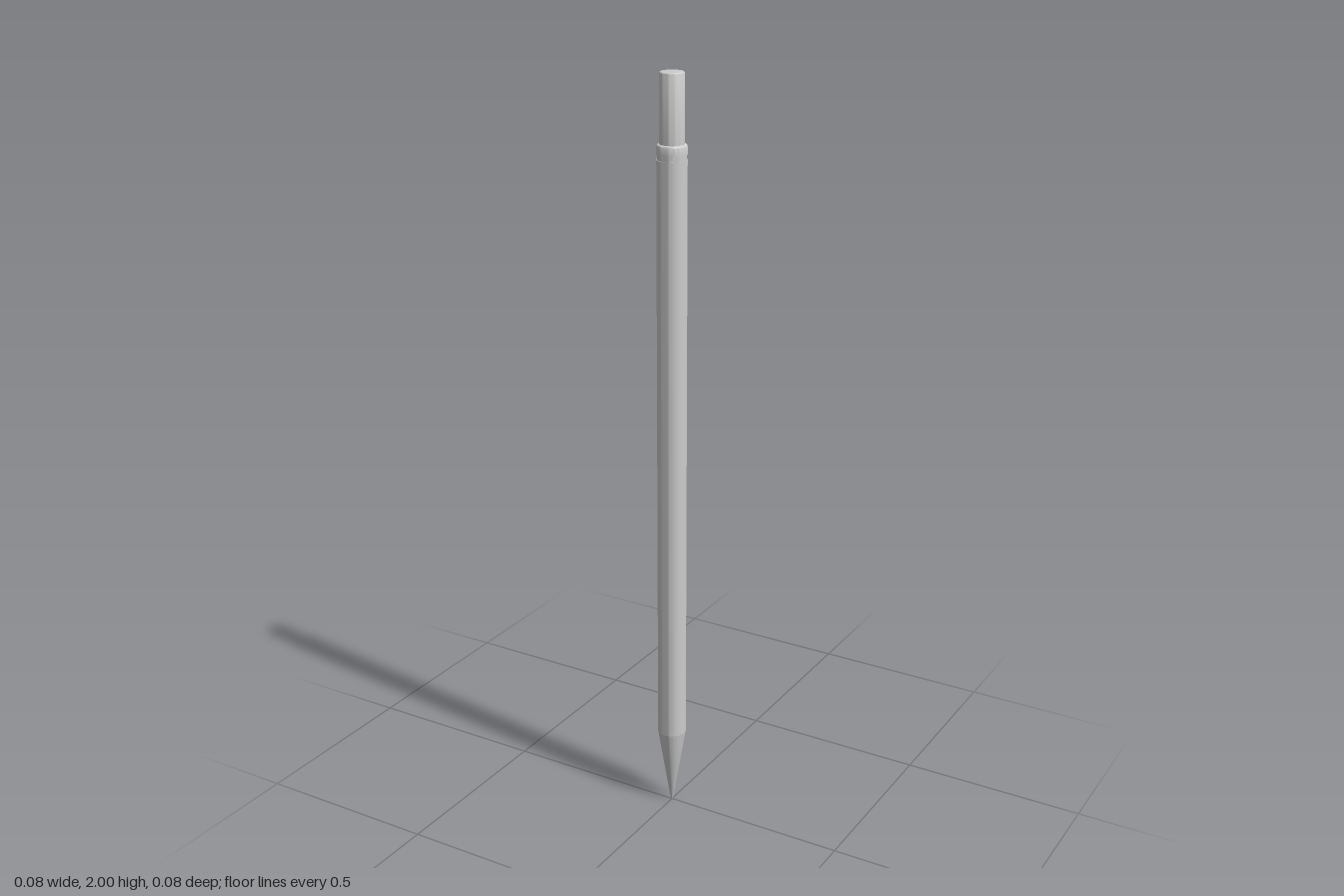
import * as THREE from 'three';
import { toCreasedNormals } from 'three/addons/utils/BufferGeometryUtils.js';

const SEGMENTS = 48;

// Turned part from a [radius, height] profile, listed bottom to top
function turned(name, profile, material) {
  const points = profile.map(([r, y]) => new THREE.Vector2(r, y));
  const geometry = toCreasedNormals(new THREE.LatheGeometry(points, SEGMENTS), 0.5);
  const mesh = new THREE.Mesh(geometry, material);
  mesh.name = name;
  return mesh;
}

// Quarter-round edge: from the side wall (r, y - e) to the top face (r - e, y)
function roundedEdge(r, y, e, steps = 5) {
  return Array.from({ length: steps + 1 }, (_, i) => {
    const a = (i / steps) * Math.PI / 2;
    return [r - e + e * Math.cos(a), y - e + e * Math.sin(a)];
  });
}

export function createModel() {
  const grey = new THREE.MeshStandardMaterial({ color: 0xcccccc });
  grey.name = 'light grey';

  const group = new THREE.Group();
  group.name = 'pencil';

  // Tapered writing tip with a small blunt point
  group.add(turned('tip', [[0, 0], [0.002, 0.001], [0.004, 0.006], [0.038, 0.22]], grey));

  // Long straight barrel, closed at the top
  group.add(turned('barrel', [[0.038, 0.22], [0.038, 1.79], [0.036, 1.79]], grey));

  // Narrow groove below the collar
  group.add(turned('groove', [[0.0365, 1.79], [0.0365, 1.803]], grey));

  // Collar with a rounded shoulder
  group.add(turned('collar',
    [[0.036, 1.803], [0.038, 1.803], ...roundedEdge(0.038, 1.828, 0.006), [0, 1.828]], grey));

  // Push button with a softened rim
  group.add(turned('button',
    [[0.031, 1.82], ...roundedEdge(0.031, 2, 0.004), [0, 2]], grey));

  return group;
}
